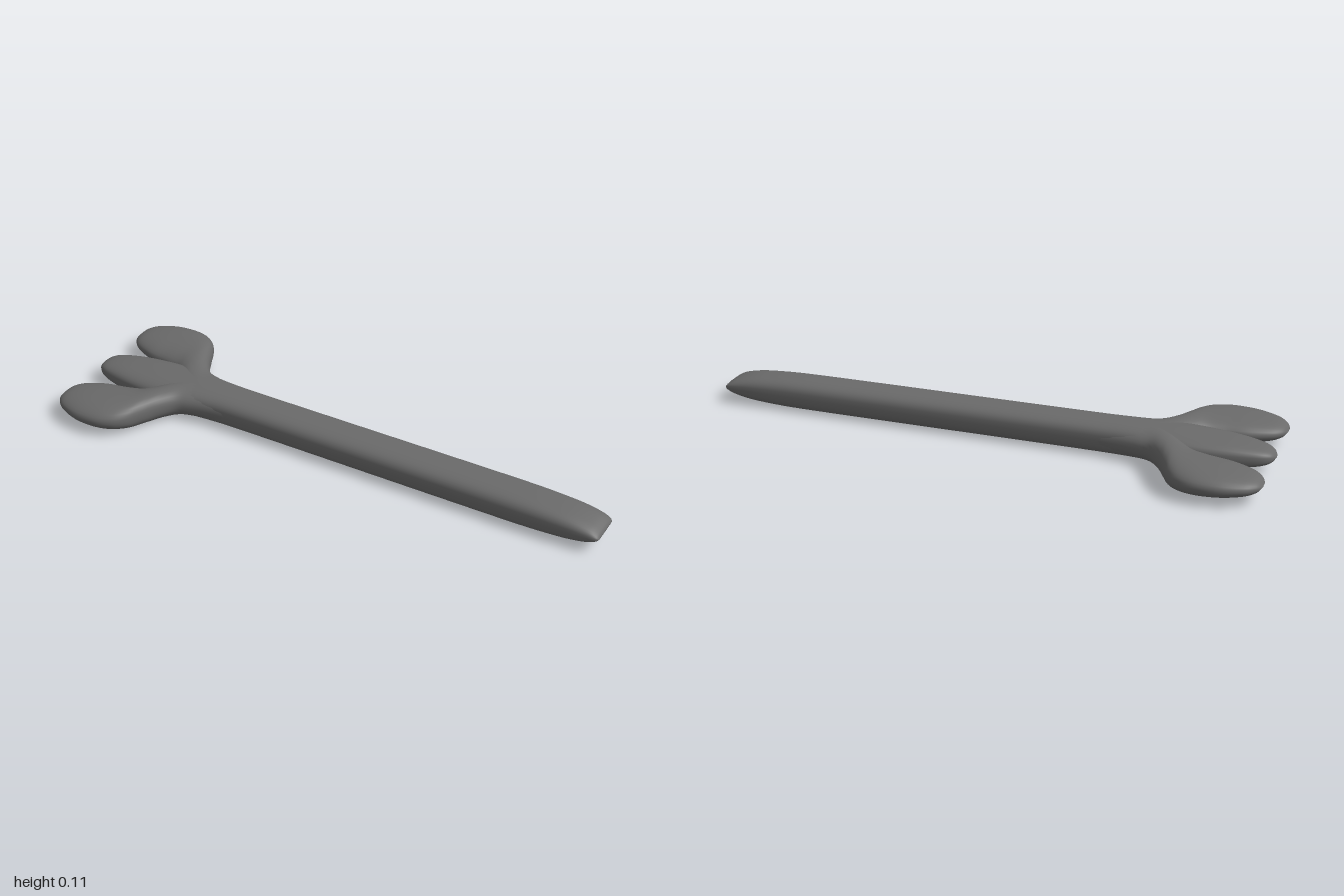
import * as THREE from 'three';

const MID_Y = 0.056;
const material = new THREE.MeshStandardMaterial({ color: 0x6a6a6a });

// Skin rounded cross-sections along x. Each key is [x, zMin, zMax, halfHeight].
function loft(name, keys, exponent, steps = 6, sides = 32) {
  const spline = (i) => new THREE.SplineCurve(keys.map((k) => new THREE.Vector2(k[0], k[i])));
  const [low, high, height] = [1, 2, 3].map(spline);
  const rings = (keys.length - 1) * steps;
  const round = (v) => Math.sign(v) * Math.abs(v) ** (2 / exponent);
  const pos = [], index = [];
  for (let i = 0; i <= rings; i++) {
    const t = i / rings;
    const a = low.getPoint(t), b = high.getPoint(t).y;
    const h = Math.max(height.getPoint(t).y, 0.002);
    for (let j = 0; j < sides; j++) {
      const ang = (j / sides) * Math.PI * 2;
      pos.push(a.x, MID_Y + h * round(Math.sin(ang)), (a.y + b) / 2 + ((b - a.y) / 2) * round(Math.cos(ang)));
    }
  }
  for (let i = 0; i < rings; i++) {
    for (let j = 0; j < sides; j++) {
      const k = (j + 1) % sides;
      const p = i * sides + j, q = i * sides + k, r = p + sides, s = q + sides;
      index.push(p, r, q, q, r, s);
    }
  }
  // End caps
  const last = rings * sides;
  for (let j = 1; j < sides - 1; j++) {
    index.push(0, j, j + 1, last, last + j + 1, last + j);
  }
  const geo = new THREE.BufferGeometry();
  geo.setAttribute('position', new THREE.Float32BufferAttribute(pos, 3));
  geo.setIndex(index);
  geo.computeVertexNormals();
  const mesh = new THREE.Mesh(geo, material);
  mesh.name = name;
  return mesh;
}

export function createModel() {
  const group = new THREE.Group();
  group.name = 'threeLobedStick';

  // Handle, running on into the middle lobe: x, half width, half height
  const handle = [
    [-1, 0.012, 0.002], [-0.985, 0.04, 0.018], [-0.95, 0.062, 0.03], [-0.88, 0.082, 0.04],
    [-0.8, 0.095, 0.046], [-0.7, 0.102, 0.051], [-0.6, 0.098, 0.054], [-0.5, 0.085, 0.055],
    [-0.38, 0.079, 0.055], [0, 0.078, 0.055], [0.4, 0.078, 0.055], [0.7, 0.078, 0.054],
    [0.82, 0.077, 0.05], [0.9, 0.075, 0.043], [0.96, 0.071, 0.03], [0.99, 0.065, 0.015], [1, 0.056, 0.003],
  ].map(([x, w, h]) => [x, -w, w, h]);
  group.add(loft('handle', handle, 2.9));

  // Side lobes, each curving out of the handle: x, inner z, outer z, half height
  const lobe = [
    [-1, 0.212, 0.256, 0.002], [-0.985, 0.18, 0.285, 0.018], [-0.95, 0.15, 0.315, 0.03],
    [-0.88, 0.121, 0.34, 0.04], [-0.8, 0.106, 0.342, 0.046], [-0.74, 0.085, 0.322, 0.049],
    [-0.7, 0.045, 0.285, 0.051], [-0.67, 0.005, 0.228, 0.052], [-0.64, -0.03, 0.17, 0.053],
    [-0.6, -0.06, 0.12, 0.054], [-0.55, -0.07, 0.1, 0.054], [-0.47, -0.07, 0.085, 0.054],
    [-0.38, -0.07, 0.077, 0.054],
  ];
  group.add(loft('leftSideLobe', lobe, 2.25));
  group.add(loft('rightSideLobe', lobe.map(([x, a, b, h]) => [x, -b, -a, h]), 2.25));
  return group;
}
